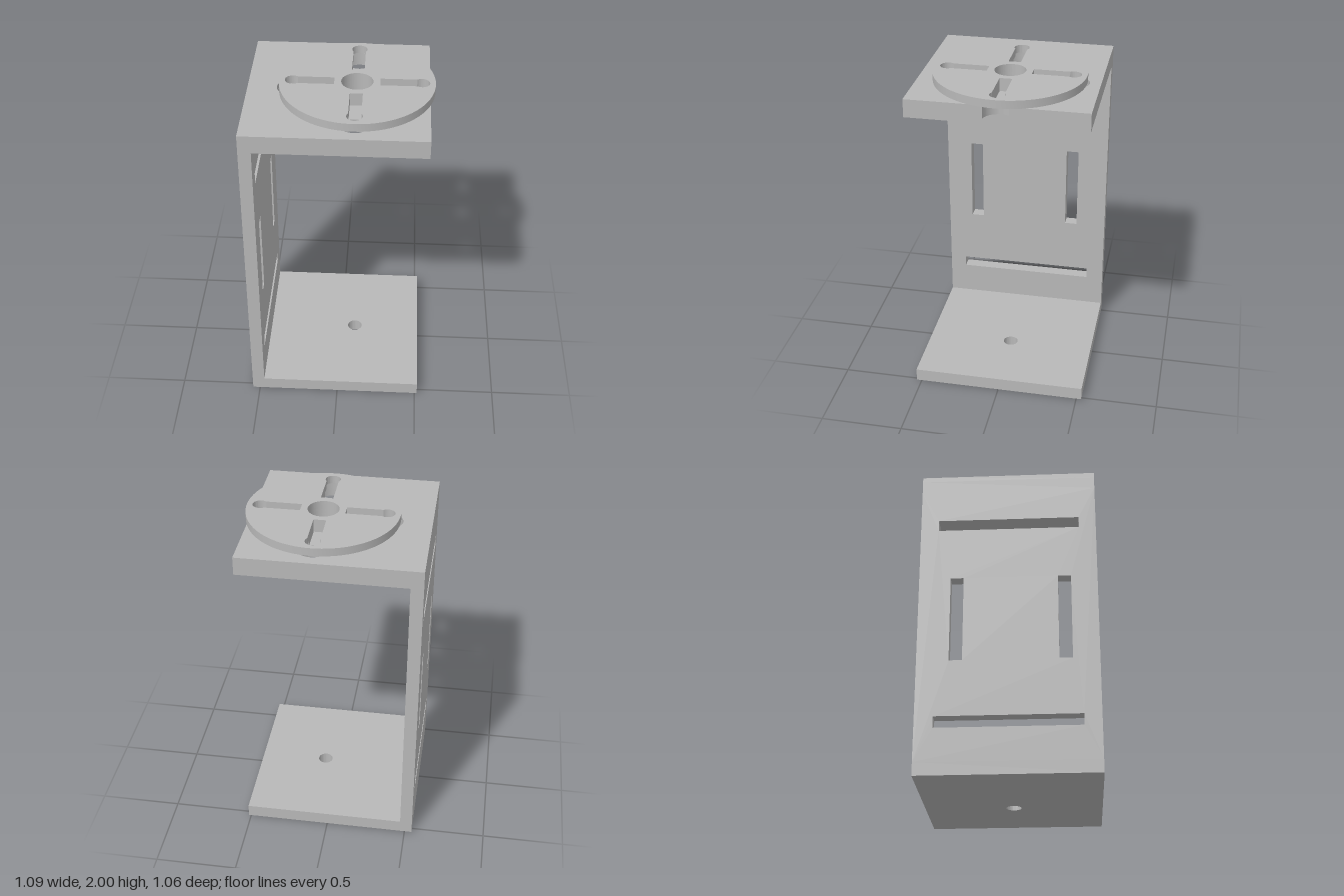
import * as THREE from 'three';
import { toCreasedNormals } from 'three/addons/utils/BufferGeometryUtils.js';

const CX = 0.092;              // x of the turning axis
const X0 = -0.545, X1 = 0.515; // bracket extent in x
const HZ = 0.532;              // bracket half width in z
const RING = 0.373;            // distance of the four outer holes from the axis
const BIG = 0.093, SMALL = 0.046;
const NECK = 0.037, START = 0.133; // slot half width and inner end

const quarter = (i) => (i * Math.PI) / 2;

// Points on an arc about (x, 0)
function arc(x, r, from, to, n = 40) {
  return Array.from({ length: n + 1 }, (_, i) => {
    const a = from + ((to - from) * i) / n;
    return new THREE.Vector2(x + r * Math.cos(a), r * Math.sin(a));
  });
}

// Round hole, or keyhole with a slot towards the axis, turned about the axis
function ringHole(r, slotted, turn) {
  const end = Math.PI - (slotted ? Math.asin(NECK / r) : 0);
  const pts = arc(RING, r, -end, end);
  if (slotted) pts.push(new THREE.Vector2(START, NECK), new THREE.Vector2(START, -NECK));
  else pts.pop();
  const o = new THREE.Vector2();
  return new THREE.Path(pts.map((p) => p.rotateAround(o, turn).add(new THREE.Vector2(CX, 0))));
}

function circle(x, r) {
  return new THREE.Path().absarc(x, 0, r, 0, Math.PI * 2, true);
}

function rect(a0, b0, a1, b1, Type = THREE.Path) {
  return new Type([[a0, b0], [a1, b0], [a1, b1], [a0, b1]].map((p) => new THREE.Vector2(...p)));
}

function extrude(shape, depth) {
  const g = new THREE.ExtrudeGeometry(shape, { depth, bevelEnabled: false, curveSegments: 48 });
  return toCreasedNormals(g, 0.4);
}

// Top plate layer: the fourth hole breaks out through the +x edge
function topLayer(slotted) {
  const hx = CX + RING;
  const a = Math.acos((X1 - hx) / BIG);
  const b = Math.PI - Math.asin(NECK / BIG);
  const notch = slotted
    ? [...arc(hx, BIG, -a, -b, 20),
      new THREE.Vector2(CX + START, -NECK), new THREE.Vector2(CX + START, NECK),
      ...arc(hx, BIG, b, a, 20)]
    : arc(hx, BIG, -a, a - 2 * Math.PI);
  const shape = new THREE.Shape([
    new THREE.Vector2(X0, -HZ), new THREE.Vector2(X1, -HZ), ...notch,
    new THREE.Vector2(X1, HZ), new THREE.Vector2(X0, HZ),
  ]);
  shape.holes.push(circle(CX, BIG));
  for (let i = 1; i < 4; i++) shape.holes.push(ringHole(BIG, slotted, quarter(i)));
  return shape;
}

export function createModel() {
  const grey = new THREE.MeshStandardMaterial({ color: 0xb8b8b8 });
  grey.name = 'grey';
  const model = new THREE.Group();
  model.name = 'motorBracket';

  // Lays an extruded outline flat between two heights
  const slab = (name, shape, y0, y1) => {
    const mesh = new THREE.Mesh(extrude(shape, y1 - y0).rotateX(-Math.PI / 2), grey);
    mesh.name = name;
    mesh.position.y = y0;
    model.add(mesh);
  };

  // Base with a small centre hole
  const base = rect(X0, -HZ, X1, HZ, THREE.Shape);
  base.holes.push(circle(CX, SMALL));
  slab('basePlate', base, 0, 0.08);

  // Upright wall with four slots, outlined in (z, y)
  const wall = rect(-HZ, 0.08, HZ, 1.841, THREE.Shape);
  wall.holes.push(
    rect(-0.424, 0.281, 0.43, 0.35), rect(-0.424, 1.565, 0.43, 1.634),
    rect(-0.343, 0.695, -0.265, 1.232), rect(0.297, 0.695, 0.375, 1.232),
  );
  const wallMesh = new THREE.Mesh(extrude(wall, 0.075).rotateY(-Math.PI / 2).translate(-0.47, 0, 0), grey);
  wallMesh.name = 'slottedWall';
  model.add(wallMesh);

  // Top plate: round holes below, shallow grooves joining them above
  slab('topPlate', topLayer(false), 1.841, 1.92);
  slab('groovedTopPlate', topLayer(true), 1.92, 1.951);

  // Disc with a centre hole and four keyhole slots
  const disc = new THREE.Shape().absarc(CX, 0, 0.452, 0, Math.PI * 2, false);
  disc.holes.push(circle(CX, BIG));
  for (let i = 0; i < 4; i++) disc.holes.push(ringHole(SMALL, true, quarter(i)));
  slab('hornDisc', disc, 1.951, 2);

  return model;
}
